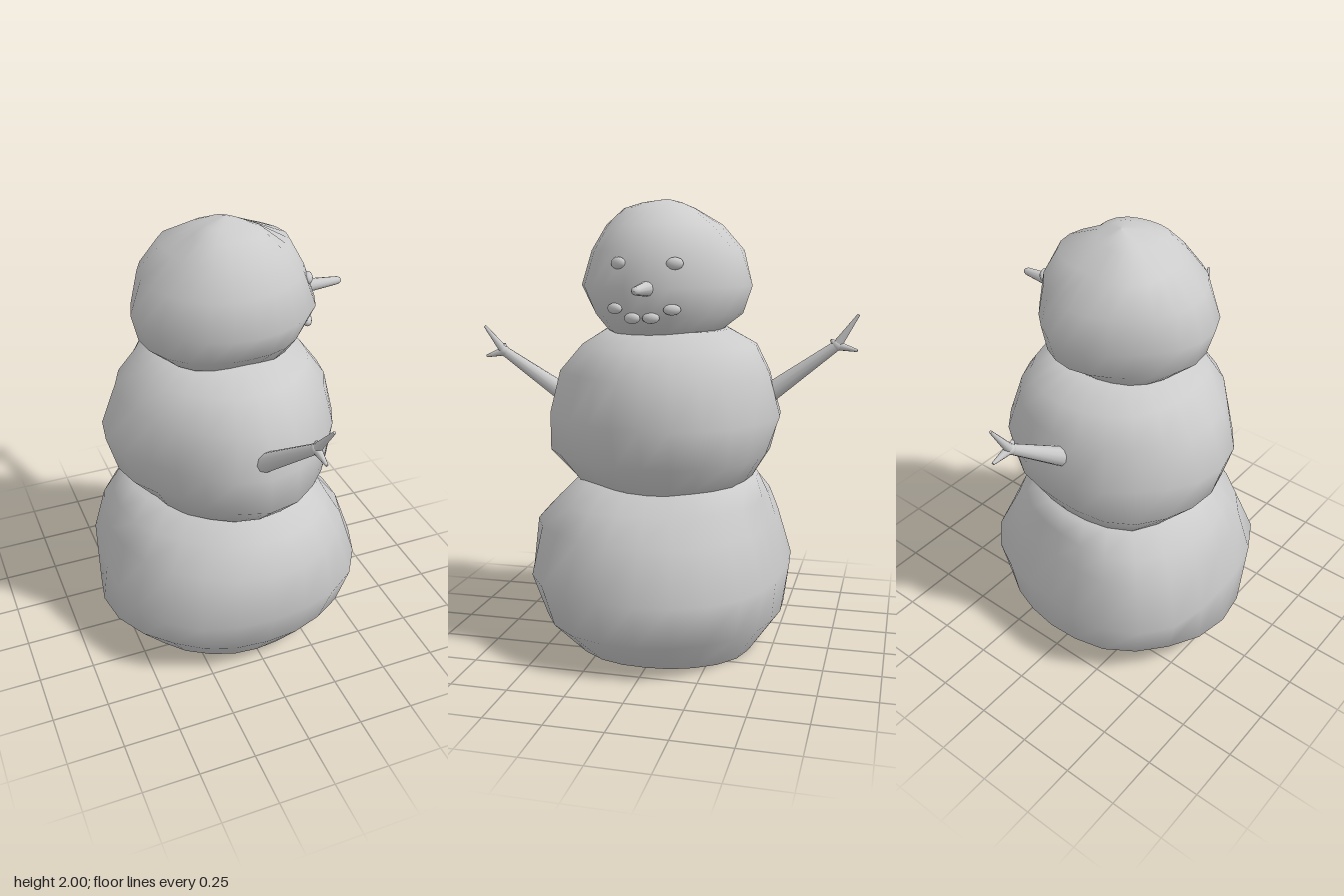
import * as THREE from 'three';

const snow = new THREE.MeshStandardMaterial({ color: 0xcccccc });

function add(parent, name, geometry) {
  const mesh = new THREE.Mesh(geometry, snow);
  mesh.name = name;
  parent.add(mesh);
  return mesh;
}

// Smooth radius at angle t from reaches spaced evenly round the ring
function reachAt(reaches, t) {
  const n = reaches.length, u = (t / (Math.PI * 2)) * n;
  const i = Math.floor(u), f = u - i;
  const [a, b, c, d] = [-1, 0, 1, 2].map((k) => reaches[(i + k + n) % n]);
  return b + 0.5 * f * (c - a + f * (2 * a - 5 * b + 4 * c - d + f * (3 * (b - c) + d - a)));
}

// Lumpy ball from rings [y, reaches in eight directions, +x towards +z].
// A repeated ring makes a hard edge; small lumps fade out along the axes.
function lumpyBall(rings, bottom, top, seed, segments = 24) {
  const pole = (y) => [y, new Array(8).fill(0.001)];
  const all = [pole(bottom), ...rings, pole(top)];
  const positions = [], index = [];
  all.forEach(([y, reaches]) => {
    for (let j = 0; j < segments; j++) {
      const t = (j / segments) * Math.PI * 2;
      const lump = 0.015 * Math.sin(2 * t) ** 2 * Math.sin(5 * t - 11 * y + seed);
      const r = reachAt(reaches, t) * (1 + lump);
      positions.push(Math.cos(t) * r, y, Math.sin(t) * r);
    }
  });
  for (let i = 0; i < all.length - 1; i++) {
    for (let j = 0; j < segments; j++) {
      const a = i * segments + j, b = i * segments + (j + 1) % segments;
      index.push(a, a + segments, b, b, a + segments, b + segments);
    }
  }
  const g = new THREE.BufferGeometry();
  g.setAttribute('position', new THREE.Float32BufferAttribute(positions, 3));
  g.setIndex(index);
  g.computeVertexNormals();
  return g;
}

// Tapered stick between two points
function stick(parent, name, from, to, r0, r1) {
  const a = new THREE.Vector3(...from), b = new THREE.Vector3(...to);
  const dir = b.clone().sub(a);
  const mesh = add(parent, name, new THREE.CylinderGeometry(r1, r0, dir.length(), 10));
  mesh.position.copy(a).add(b).multiplyScalar(0.5);
  mesh.quaternion.setFromUnitVectors(new THREE.Vector3(0, 1, 0), dir.normalize());
}

function pebble(parent, name, x, y, z, rx, ry, rz) {
  const mesh = add(parent, name, new THREE.SphereGeometry(1, 12, 8));
  mesh.scale.set(rx, ry, rz);
  mesh.position.set(x, y, z);
  mesh.rotation.y = -Math.atan2(z, x);
}

function arm(parent, name, shoulder, wrist, fingers) {
  const g = new THREE.Group();
  g.name = name;
  stick(g, 'forearm', shoulder, wrist, 0.044, 0.022);
  pebble(g, 'wrist', ...wrist, 0.024, 0.024, 0.024);
  fingers.forEach((tip) => stick(g, 'finger', wrist, tip, 0.021, 0.006));
  parent.add(g);
}

export function createModel() {
  const model = new THREE.Group();
  model.name = 'snowman';

  // Body, with a flat base under the lowest ball
  const base = [0, [0.40, 0.43, 0.43, 0.45, 0.46, 0.41, 0.41, 0.42]];
  add(model, 'lowerBall', lumpyBall([
    base, base,
    [0.16, [0.58, 0.58, 0.55, 0.58, 0.615, 0.58, 0.53, 0.54]],
    [0.35, [0.612, 0.63, 0.615, 0.645, 0.59, 0.655, 0.535, 0.595]],
    [0.57, [0.52, 0.57, 0.59, 0.555, 0.56, 0.58, 0.47, 0.50]],
    [0.68, [0.42, 0.50, 0.48, 0.47, 0.51, 0.52, 0.44, 0.44]],
    [0.78, [0.33, 0.40, 0.38, 0.38, 0.44, 0.42, 0.41, 0.37]],
    [0.84, [0.20, 0.22, 0.22, 0.23, 0.24, 0.24, 0.22, 0.21]],
  ], 0, 0.86, 1));

  add(model, 'middleBall', lumpyBall([
    [0.70, [0.28, 0.26, 0.26, 0.24, 0.22, 0.22, 0.21, 0.22]],
    [0.77, [0.37, 0.39, 0.42, 0.39, 0.38, 0.42, 0.38, 0.38]],
    [0.89, [0.45, 0.475, 0.54, 0.45, 0.50, 0.515, 0.45, 0.47]],
    [1.06, [0.50, 0.485, 0.545, 0.49, 0.55, 0.515, 0.51, 0.505]],
    [1.25, [0.45, 0.445, 0.49, 0.45, 0.48, 0.465, 0.46, 0.45]],
    [1.37, [0.36, 0.37, 0.38, 0.38, 0.37, 0.40, 0.40, 0.39]],
    [1.44, [0.22, 0.25, 0.27, 0.27, 0.27, 0.28, 0.27, 0.27]],
  ], 0.68, 1.47, 3.2));

  add(model, 'head', lumpyBall([
    [1.40, [0.19, 0.23, 0.18, 0.20, 0.22, 0.23, 0.18, 0.18]],
    [1.44, [0.26, 0.28, 0.24, 0.29, 0.30, 0.28, 0.25, 0.26]],
    [1.51, [0.33, 0.33, 0.32, 0.36, 0.38, 0.33, 0.34, 0.32]],
    [1.63, [0.38, 0.38, 0.38, 0.405, 0.41, 0.355, 0.38, 0.34]],
    [1.78, [0.335, 0.325, 0.34, 0.36, 0.36, 0.355, 0.33, 0.315]],
    [1.89, [0.275, 0.26, 0.27, 0.27, 0.25, 0.28, 0.21, 0.25]],
    [1.96, [0.12, 0.18, 0.19, 0.20, 0.13, 0.14, 0.11, 0.10]],
    [1.985, [0.06, 0.10, 0.11, 0.12, 0.07, 0.07, 0.06, 0.05]],
  ], 1.38, 2, 5));

  // Face, looking along +x
  for (const z of [0.13, -0.11]) pebble(model, 'eye', 0.322, 1.732, z, 0.02, 0.026, 0.036);
  [[0.32, 1.545, 0.148], [0.33, 1.506, 0.07], [0.33, 1.508, -0.01], [0.328, 1.544, -0.1]]
    .forEach(([x, y, z]) => pebble(model, 'mouthPebble', x, y, z, 0.02, 0.023, 0.037));

  const noseProfile = [[0, 0], [0.037, 0], [0.017, 0.23], [0.011, 0.242], [0, 0.245]]
    .map(([r, y]) => new THREE.Vector2(r, y));
  const nose = add(model, 'nose', new THREE.LatheGeometry(noseProfile, 12));
  nose.rotation.z = -Math.PI / 2;
  nose.position.set(0.3, 1.63, 0);

  // Twig arms with forked hands
  arm(model, 'rightArm', [-0.025, 1.11, 0.48], [0.085, 1.325, 0.745],
    [[0.115, 1.44, 0.825], [0.09, 1.3, 0.83], [0.085, 1.36, 0.745]]);
  arm(model, 'leftArm', [-0.045, 1.145, -0.44], [-0.045, 1.375, -0.745],
    [[-0.045, 1.51, -0.835], [-0.04, 1.355, -0.835], [-0.04, 1.4, -0.72]]);

  return model;
}
